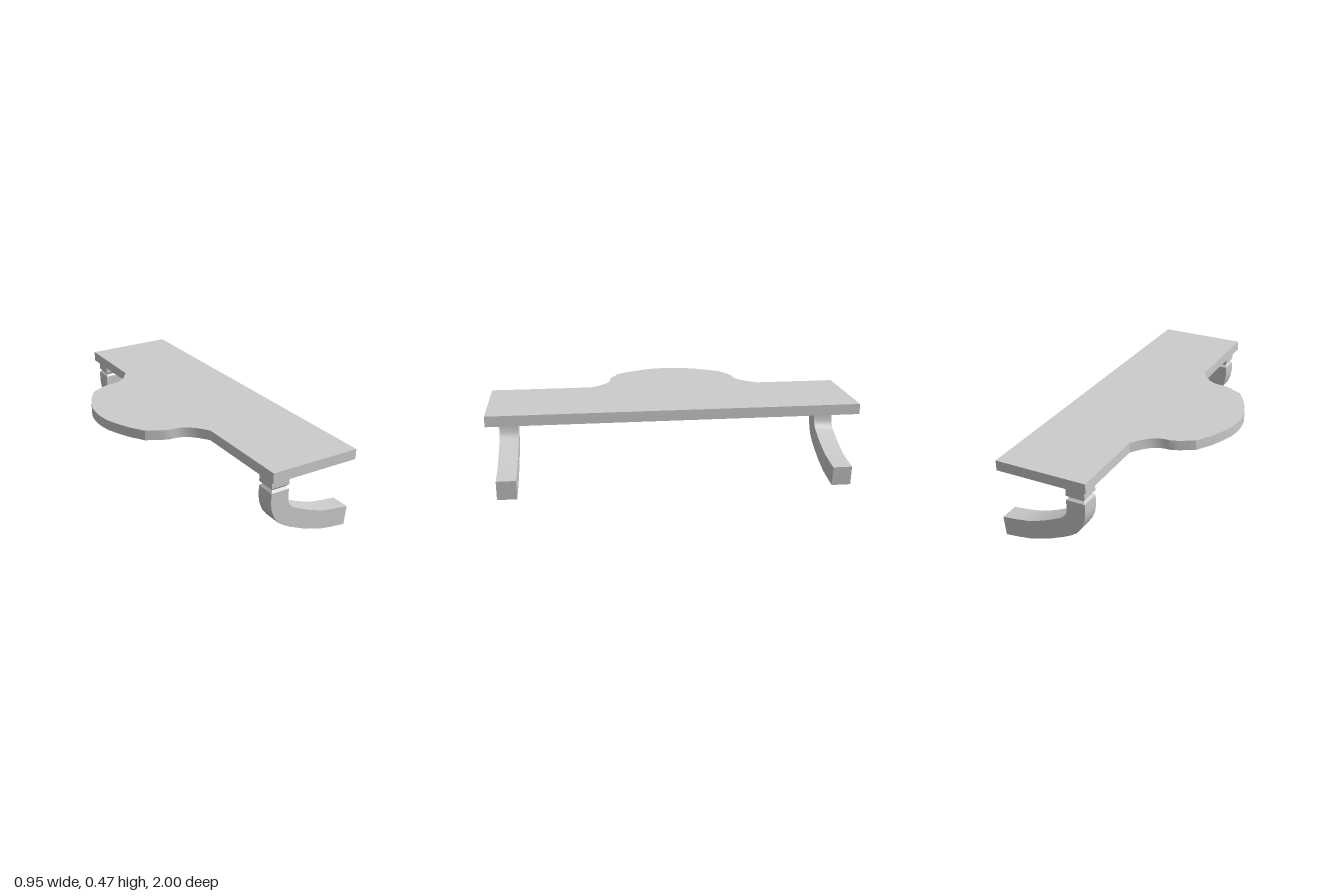
import * as THREE from 'three';
import { toCreasedNormals } from 'three/addons/utils/BufferGeometryUtils.js';

const material = new THREE.MeshStandardMaterial({ color: 0xcccccc });

// Flat top: a long plank with a rounded bulge on one long side
function createTabletop() {
  const bulgeZ = -0.057;
  // [x, distance from the bulge's centre line]
  const half = [
    [-0.053, 0.493], [-0.09, 0.44], [-0.13, 0.401], [-0.165, 0.381], [-0.2, 0.374], [-0.235, 0.373],
    [-0.275, 0.358], [-0.355, 0.316], [-0.407, 0.237], [-0.44, 0.168], [-0.466, 0.099], [-0.475, 0.045],
  ];
  const outline = [
    [0.468, -1], [0.468, 1], [-0.053, 1],
    ...half.map(([x, d]) => [x, bulgeZ + d]),
    [-0.478, bulgeZ],
    ...half.map(([x, d]) => [x, bulgeZ - d]).reverse(),
    [-0.053, -1],
  ];
  const shape = new THREE.Shape(outline.map(([x, z]) => new THREE.Vector2(x, z)));
  const geometry = new THREE.ExtrudeGeometry(shape, { depth: 0.057, bevelEnabled: false });
  geometry.rotateX(Math.PI / 2).translate(0, 0.467, 0);
  return new THREE.Mesh(toCreasedNormals(geometry, 0.5), material);
}

// Curved square leg, lofted through rectangular sections from top to foot
function createLegGeometry() {
  // [outer x, outer y, inner x, inner y, half depth]
  const w = 0.053, neck = 0.041;
  const sections = [
    [-0.03, 0.41, 0.077, 0.41, w],
    [-0.03, 0.355, 0.077, 0.355, w],
    [-0.018, 0.342, 0.064, 0.342, neck],
    [-0.03, 0.329, 0.077, 0.329, w],
    [-0.03, 0.27, 0.077, 0.275, w],
    [-0.022, 0.225, 0.081, 0.25, w],
    [-0.004, 0.183, 0.09, 0.232, w],
    [0.025, 0.145, 0.105, 0.217, w],
    [0.06, 0.121, 0.125, 0.206, w],
    [0.1, 0.1, 0.145, 0.197, w],
    [0.2, 0.056, 0.22, 0.163, w],
    [0.3, 0.025, 0.313, 0.132, w],
    [0.38, 0.012, 0.39, 0.12, w],
    [0.467, 0.002, 0.477, 0.11, w],
  ];
  const positions = [], index = [];
  sections.forEach(([ox, oy, ix, iy, d], i) => {
    positions.push(ox, oy, d, ix, iy, d, ix, iy, -d, ox, oy, -d);
    if (i === 0) return;
    for (let j = 0; j < 4; j++) {
      const k = (j + 1) % 4, top = (i - 1) * 4, low = i * 4;
      index.push(top + j, low + j, low + k, top + j, low + k, top + k);
    }
  });
  // End caps
  const e = (sections.length - 1) * 4;
  index.push(0, 1, 2, 0, 2, 3, e, e + 2, e + 1, e, e + 3, e + 2);
  const geometry = new THREE.BufferGeometry();
  geometry.setAttribute('position', new THREE.Float32BufferAttribute(positions, 3));
  geometry.setIndex(index);
  return toCreasedNormals(geometry, 0.55);
}

export function createModel() {
  const model = new THREE.Group();
  model.name = 'table';

  const top = createTabletop();
  top.name = 'tabletop';
  model.add(top);

  // One leg near each end
  const legGeometry = createLegGeometry();
  for (const [name, z] of [['frontLeg', 0.909], ['backLeg', -0.924]]) {
    const leg = new THREE.Mesh(legGeometry, material);
    leg.name = name;
    leg.position.z = z;
    model.add(leg);
  }
  return model;
}
